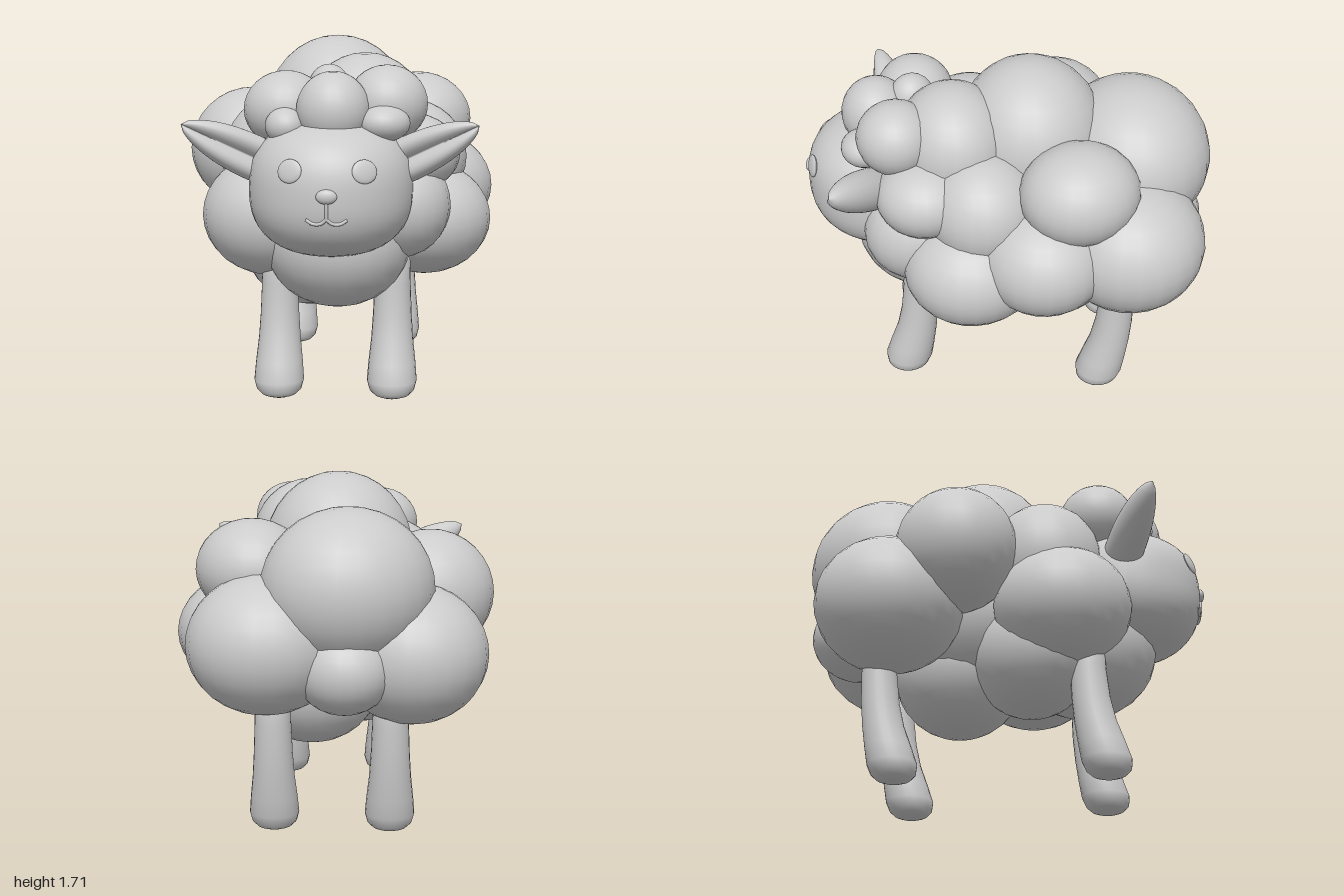
import * as THREE from 'three';

const material = new THREE.MeshStandardMaterial({ color: 0xcccccc });
const YAW = -0.436; // the animal is turned towards its right

function add(parent, name, geometry) {
  const mesh = new THREE.Mesh(geometry, material);
  mesh.name = name;
  parent.add(mesh);
  return mesh;
}

const ball = new THREE.SphereGeometry(1, 24, 16);

function puff(parent, name, [x, y, z], [rx, ry, rz]) {
  const mesh = add(parent, name, ball);
  mesh.position.set(x, y, z);
  mesh.scale.set(rx, ry, rz);
  return mesh;
}

// Skin over closed rings that turn left about the axis; point(i, j) gives corner j of ring i
function loft(rows, cols, point) {
  const pos = [], index = [];
  for (let i = 0; i <= rows; i++)
    for (let j = 0; j < cols; j++) pos.push(...point(i, j));
  for (let i = 0; i < rows; i++)
    for (let j = 0; j < cols; j++) {
      const a = i * cols + j, b = i * cols + (j + 1) % cols;
      index.push(a, b, a + cols, b, b + cols, a + cols);
    }
  const g = new THREE.BufferGeometry();
  g.setAttribute('position', new THREE.Float32BufferAttribute(pos, 3));
  g.setIndex(index);
  g.computeVertexNormals();
  return g;
}

// Wool puffs: centre, radii
const WOOL = [
  [[0.035, 1.32, -0.09], [0.37, 0.385, 0.36]], // back, top
  [[0.2, 1.2, -0.56], [0.415, 0.38, 0.385]], // rump, top
  [[-0.1, 0.88, -0.63], [0.365, 0.335, 0.37]], // rump, right
  [[0.55, 0.94, -0.41], [0.38, 0.335, 0.37]], // rump, left
  [[0.27, 0.84, -0.67], [0.23, 0.21, 0.24]], // tail
  [[0.52, 1.26, -0.16], [0.27, 0.24, 0.29]], // flank, upper left
  [[-0.33, 1.12, -0.37], [0.32, 0.31, 0.3]], // flank, upper right
  [[0.5, 0.93, 0.01], [0.33, 0.28, 0.32]], // flank, left
  [[-0.41, 0.86, 0.16], [0.34, 0.3, 0.34]], // shoulder, right
  [[0.33, 0.82, 0.31], [0.33, 0.28, 0.34]], // shoulder, left
  [[-0.33, 1.12, 0.1], [0.3, 0.32, 0.29]], // shoulder, upper right
  [[0.28, 1.12, 0.24], [0.29, 0.28, 0.28]], // shoulder, upper left
  [[0.02, 1.34, 0.3], [0.3, 0.3, 0.28]], // nape
  [[0.17, 1.17, 0.49], [0.24, 0.19, 0.24]], // neck, upper left
  [[0.1, 0.93, 0.5], [0.25, 0.26, 0.28]], // neck, left
  [[-0.16, 0.76, 0.38], [0.36, 0.33, 0.37]], // chest
  [[0.2, 0.69, -0.15], [0.34, 0.32, 0.33]], // belly, rear
  [[-0.18, 0.68, 0.1], [0.34, 0.3, 0.3]], // belly, front
];

// Curls on the crown of the head
const CURLS = [
  [[-0.41, 1.39, 0.36], [0.2, 0.18, 0.19]],
  [[-0.27, 1.4, 0.6], [0.17, 0.18, 0.17]],
  [[0.01, 1.42, 0.58], [0.19, 0.18, 0.19]],
  [[-0.22, 1.48, 0.43], [0.1, 0.12, 0.11]],
  [[-0.065, 1.345, 0.72], [0.12, 0.085, 0.11]],
  [[-0.48, 1.33, 0.53], [0.09, 0.085, 0.1]],
];

// Leg rings: height, forward shift, radius
const LEG = [
  [0, 0.085, 0], [0.003, 0.085, 0.05], [0.016, 0.085, 0.084], [0.04, 0.083, 0.108], [0.085, 0.076, 0.12],
  [0.17, 0.055, 0.113], [0.28, 0.028, 0.101], [0.4, 0.01, 0.093], [0.55, 0, 0.087], [0.7, 0, 0.083], [0.82, 0, 0],
];

function legGeometry() {
  const n = 24;
  return loft(LEG.length - 1, n, (i, j) => {
    const [y, shift, r] = LEG[i], a = -j / n * Math.PI * 2;
    return [r * Math.cos(a), y, shift + r * Math.sin(a)];
  });
}

// Plump pointed ear along +x (side 1) or -x (side -1), with a groove folded into its +z face
function earGeometry(side) {
  const rows = 18, n = 48;
  return loft(rows, n, (i, j) => {
    const t = i / rows, a = j / n * Math.PI * 2;
    const off = Math.min(a, Math.PI * 2 - a); // angle away from the groove
    const w = 0.127 * Math.pow(1 - t, 0.65) * (0.8 + 0.75 * t);
    const r = w * (1 - 0.75 * Math.exp(-((off / 0.55) ** 2)));
    return [side * t * 0.47, -side * r * Math.sin(a), r * Math.cos(a)];
  });
}

// Head: a ball squared off slightly at top and bottom
const HR = [0.38, 0.312, 0.38], HP = 2.5;
const headZ = (x, y) => {
  const s = Math.pow(1 - Math.pow(Math.abs(y) / HR[1], HP), 1 / HP);
  return HR[2] * Math.sqrt(Math.max(0, s * s - (x / HR[0]) ** 2));
};

function headGeometry() {
  const g = new THREE.SphereGeometry(1, 40, 28), p = g.attributes.position;
  for (let i = 0; i < p.count; i++) {
    const y = p.getY(i), r = Math.hypot(p.getX(i), p.getZ(i));
    const k = 1 / Math.pow(Math.pow(r, HP) + Math.pow(Math.abs(y), HP), 1 / HP);
    p.setXYZ(i, p.getX(i) * k * HR[0], y * k * HR[1], p.getZ(i) * k * HR[2]);
  }
  g.computeVertexNormals();
  return g;
}

function createHead() {
  const head = new THREE.Group();
  head.name = 'head';
  head.position.set(-0.27, 1.042, 0.575);
  head.rotation.y = YAW;
  add(head, 'face', headGeometry());

  // Nose and mouth, laid on the face
  puff(head, 'nose', [0, 0.015, headZ(0, 0.015)], [0.047, 0.033, 0.022]);
  const line = (name, pts) => {
    const curve = new THREE.CatmullRomCurve3(pts.map(([x, y]) => new THREE.Vector3(x, y, headZ(x, y) + 0.003)));
    add(head, name, new THREE.TubeGeometry(curve, 16, 0.008, 8));
  };
  line('mouthLine', [[0, 0], [0, -0.05], [0, -0.09]]);

  for (const s of [-1, 1]) {
    line('mouthCurl', [[0, -0.085], [s * 0.025, -0.106], [s * 0.06, -0.108], [s * 0.092, -0.09]]);

    const eye = puff(head, 'eye', [s * 0.165, 0.12, headZ(0.165, 0.12)], [0.06, 0.054, 0.014]);
    eye.rotation.set(-0.25, s * 0.45, 0, 'YXZ');

    // Ears point outwards, up and forwards
    const ear = add(head, 'ear', earGeometry(s));
    ear.position.set(s * 0.28, 0.095, -0.015);
    ear.rotation.set(0, -s * 0.36, s * 0.46, 'YZX');
  }
  return head;
}

export function createModel() {
  const sheep = new THREE.Group();
  sheep.name = 'sheep';

  const fleece = new THREE.Group();
  fleece.name = 'fleece';
  puff(fleece, 'bodyCore', [0.06, 0.93, -0.08], [0.38, 0.38, 0.55]).rotation.y = YAW;
  for (const [c, r] of WOOL) puff(fleece, 'woolPuff', c, r);
  for (const [c, r] of CURLS) puff(fleece, 'headCurl', c, r);
  sheep.add(fleece, createHead());

  const leg = legGeometry();
  const feet = { frontLegLeft: [0.075, 0.51], frontLegRight: [-0.42, 0.285], backLegLeft: [0.51, -0.385], backLegRight: [0.01, -0.635] };
  for (const [name, [x, z]] of Object.entries(feet)) {
    const mesh = add(sheep, name, leg);
    mesh.position.set(x, 0, z);
    mesh.rotation.y = YAW;
  }
  return sheep;
}
